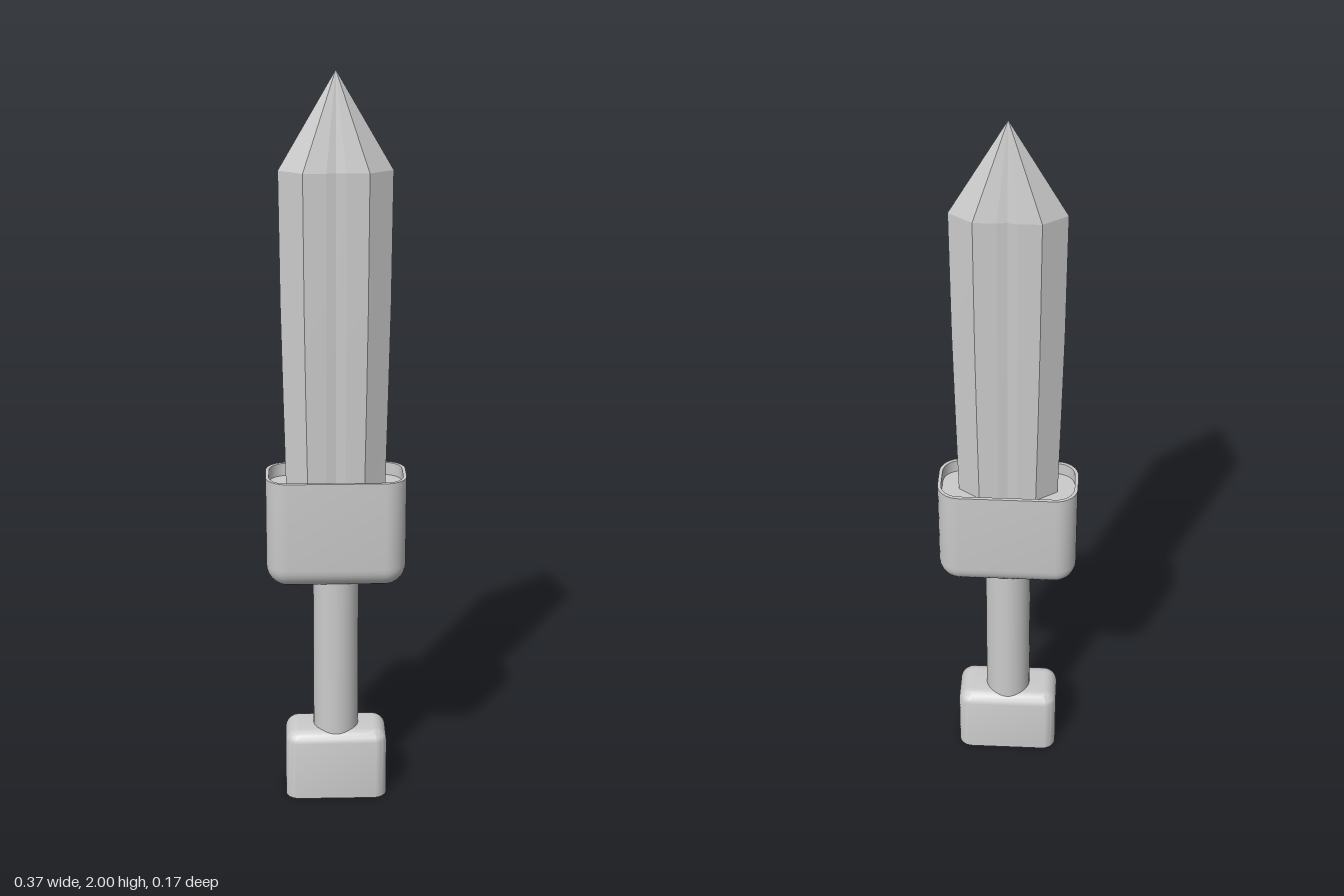
import * as THREE from 'three';
import { toCreasedNormals } from 'three/addons/utils/BufferGeometryUtils.js';

const grey = new THREE.MeshStandardMaterial({ color: 0xcccccc });

// Skin a stack of horizontal rings ([x, y, z] points, same count each), capped at both ends.
// Rings run from +x towards +z; the stack goes from bottom to top of the outside.
function loft(rings) {
  const n = rings[0].length;
  const positions = rings.flat(2);
  const index = [];
  for (let r = 0; r < rings.length - 1; r++) {
    for (let i = 0; i < n; i++) {
      const a = r * n + i, b = r * n + (i + 1) % n;
      index.push(a, a + n, b, b, a + n, b + n);
    }
  }
  const addCap = (ring, start, up) => {
    const centre = positions.length / 3;
    positions.push(0, ring[0][1], 0);
    for (let i = 0; i < n; i++) {
      const a = start + i, b = start + (i + 1) % n;
      index.push(centre, ...(up ? [b, a] : [a, b]));
    }
  };
  addCap(rings[0], 0, false);
  addCap(rings[rings.length - 1], (rings.length - 1) * n, true);
  const geometry = new THREE.BufferGeometry();
  geometry.setAttribute('position', new THREE.Float32BufferAttribute(positions, 3));
  geometry.setIndex(index);
  return geometry;
}

// Rounded rectangle at height y, shrunk inwards by inset.
function roundedRing(halfX, halfZ, radius, y, inset = 0, steps = 8) {
  const r = Math.max(radius - inset, 0.002);
  const cx = halfX - inset - r, cz = halfZ - inset - r;
  const ring = [];
  [[1, 1], [-1, 1], [-1, -1], [1, -1]].forEach(([sx, sz], corner) => {
    for (let i = 0; i <= steps; i++) {
      const t = (corner + i / steps) * Math.PI / 2;
      ring.push([sx * cx + r * Math.cos(t), y, sz * cz + r * Math.sin(t)]);
    }
  });
  return ring;
}

// Quarter-round edge as [inset, height] pairs, from the flat face out to the wall.
function quarterRound(radius, steps = 8) {
  return Array.from({ length: steps + 1 }, (_, i) => {
    const t = i / steps * Math.PI / 2;
    return [radius * (1 - Math.sin(t)), radius * (1 - Math.cos(t))];
  });
}

function bladeRing(y, edge, ridge, thick) {
  const groove = 0.025;
  const half = [[edge, 0], [ridge, thick], [groove, thick], [0, thick - 0.004],
    [-groove, thick], [-ridge, thick]];
  return [...half, ...half.map(([x, z]) => [-x, -z])].map(([x, z]) => [x, y, z]);
}

export function createModel() {
  const model = new THREE.Group();
  const add = (name, geometry) => {
    const mesh = new THREE.Mesh(geometry, grey);
    mesh.name = name;
    model.add(mesh);
  };

  // Pommel: sharp foot, rounded top edge
  const pommelR = 0.038;
  add('pommel', toCreasedNormals(loft([
    roundedRing(0.14, 0.077, pommelR, 0),
    ...quarterRound(pommelR).reverse().map(([inset, h]) =>
      roundedRing(0.14, 0.077, pommelR, 0.2 - h, inset)),
  ]), 0.7));

  // Grip
  const grip = new THREE.CylinderGeometry(0.062, 0.062, 0.58, 32);
  grip.translate(0, 0.43, 0);
  add('grip', grip);

  // Guard: rounded underside, thin rim around a shallow recess
  const guardR = 0.058, wall = 0.009;
  add('guard', toCreasedNormals(loft([
    ...quarterRound(guardR).map(([inset, h]) =>
      roundedRing(0.187, 0.087, guardR, 0.635 + h, inset)),
    roundedRing(0.187, 0.087, guardR, 0.94),
    roundedRing(0.187, 0.087, guardR, 0.94, wall),
    roundedRing(0.187, 0.087, guardR, 0.905, wall),
  ]), 0.7));

  // Blade: bevelled edges, shallow central groove, pointed tip
  const blade = loft([
    bladeRing(0.89, 0.132, 0.075, 0.040),
    bladeRing(1.15, 0.138, 0.079, 0.042),
    bladeRing(1.4, 0.143, 0.082, 0.044),
    bladeRing(1.75, 0.146, 0.084, 0.045),
    bladeRing(1.75, 0.146, 0.084, 0.045).map(() => [0, 2, 0]),
  ]);
  add('blade', toCreasedNormals(blade, 0.1));

  return model;
}
